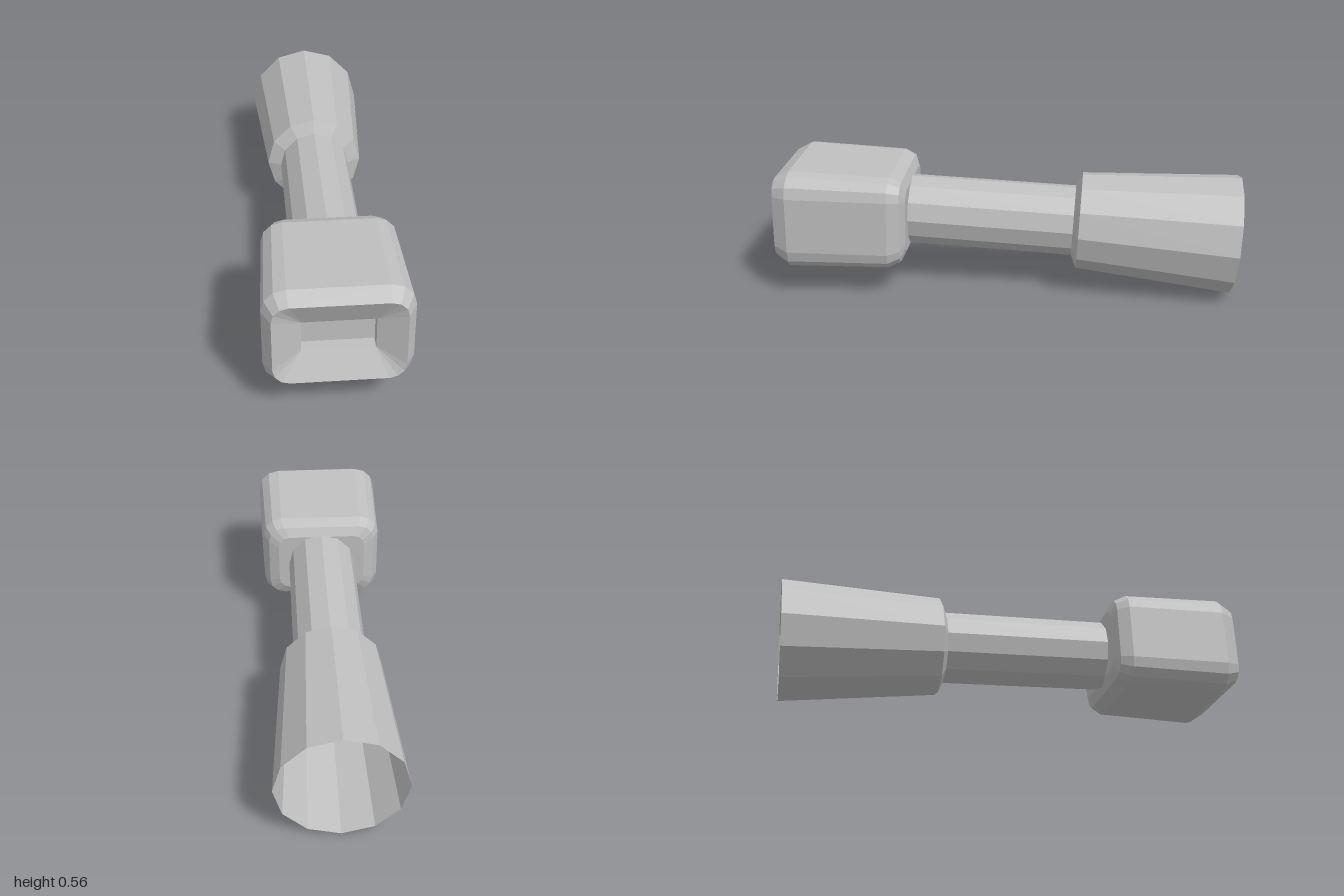
import * as THREE from 'three';

// Skin between rings of equal point count, ordered back to front,
// each ring counter-clockwise as seen from +z. Flat facets.
function loft(rings, capBack, capFront) {
  const pos = [];
  const tri = (a, b, c) => pos.push(...a, ...b, ...c);
  const n = rings[0].length;
  for (let i = 0; i < rings.length - 1; i++) {
    for (let j = 0; j < n; j++) {
      const k = (j + 1) % n;
      const [a, b, c, d] = [rings[i][j], rings[i][k], rings[i + 1][k], rings[i + 1][j]];
      tri(a, b, c);
      tri(a, c, d);
    }
  }
  const last = rings[rings.length - 1];
  for (let j = 1; j < n - 1; j++) {
    if (capBack) tri(rings[0][0], rings[0][j + 1], rings[0][j]);
    if (capFront) tri(last[0], last[j], last[j + 1]);
  }
  const g = new THREE.BufferGeometry();
  g.setAttribute('position', new THREE.Float32BufferAttribute(pos, 3));
  g.computeVertexNormals();
  return g;
}

// Rounded rectangle ring, leaning back slightly towards the top
function rectRing(z, cy, hw, hh, r, lean = 0.03) {
  const pts = [];
  [[1, 1], [-1, 1], [-1, -1], [1, -1]].forEach(([sx, sy], q) => {
    for (let s = 0; s <= 3; s++) {
      const a = (q + s / 3) * Math.PI / 2;
      const dy = sy * (hh - r) + r * Math.sin(a);
      pts.push([sx * (hw - r) + r * Math.cos(a), cy + dy, z - lean * dy]);
    }
  });
  return pts;
}

// Twelve-sided ring, tilted to follow the drooping shaft
function roundRing(z, cy, r, tilt = 0.05) {
  const pts = [];
  for (let i = 0; i < 12; i++) {
    const a = i * Math.PI / 6;
    const dy = r * Math.sin(a);
    pts.push([r * Math.cos(a), cy + dy, z - tilt * dy]);
  }
  return pts;
}

export function createModel() {
  const group = new THREE.Group();
  const grey = new THREE.MeshStandardMaterial({ color: 0xbfbfbf, flatShading: true });
  grey.name = 'plain grey';
  const greyOpen = grey.clone();
  greyOpen.side = THREE.DoubleSide;

  const add = (name, geometry, material) => {
    const mesh = new THREE.Mesh(geometry, material);
    mesh.name = name;
    group.add(mesh);
  };

  // Block head with rounded edges and a sunken rectangular socket
  add('head', loft([
    rectRing(0.43, 0.337, 0.2, 0.14, 0.05),
    rectRing(0.45, 0.337, 0.245, 0.182, 0.07),
    rectRing(0.5, 0.337, 0.27, 0.205, 0.085),
    rectRing(0.93, 0.345, 0.285, 0.217, 0.095),
    rectRing(0.993, 0.35, 0.25, 0.179, 0.065),
    rectRing(0.94, 0.348, 0.14, 0.068, 0.003),
    rectRing(0.89, 0.348, 0.14, 0.068, 0.003),
  ], true, true), grey);

  // Slim shaft
  add('shaft', loft([
    roundRing(-0.285, 0.3, 0.155),
    roundRing(0.45, 0.333, 0.153),
  ], false, false), greyOpen);

  // Flared sleeve, open at the back, with a chamfered collar
  add('flaredSleeve', loft([
    roundRing(-0.985, 0.262, 0.26, 0.06),
    roundRing(-0.31, 0.302, 0.213),
    roundRing(-0.285, 0.3, 0.155),
  ], false, false), greyOpen);

  return group;
}
